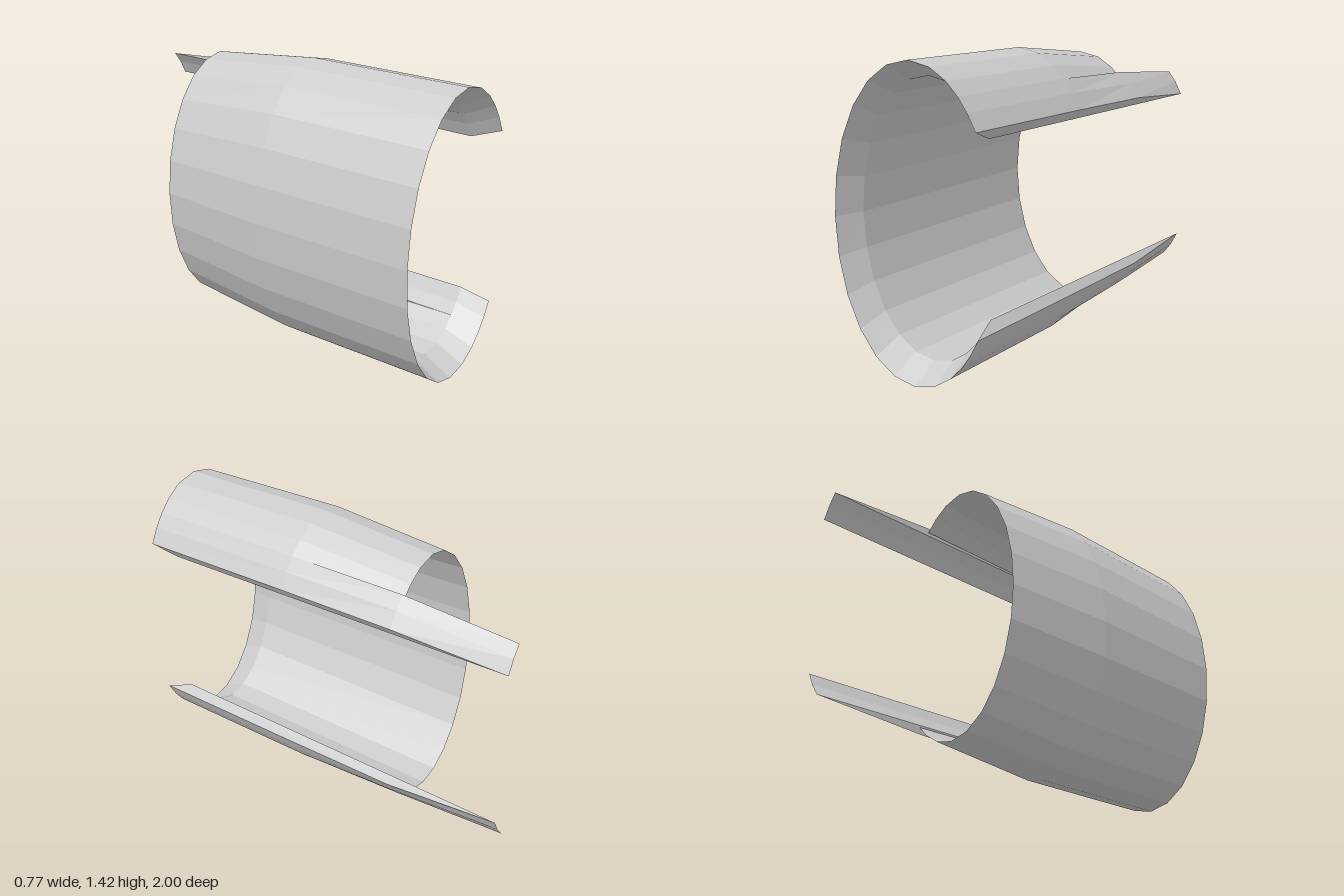
import * as THREE from 'three';

const CX = 0.04, CY = 0.715, DEG = Math.PI / 180;
const LIP = 37.8, SPLIT = 54;

// Point on an elliptical ring at angle t (degrees) and depth z
const ringPoint = (t, rx, ry, z) =>
  [CX + rx * Math.cos(t * DEG), CY + ry * Math.sin(t * DEG), z];

// Sweep a closed lengthwise profile around the given angles, with optional end caps
function sweep(name, angles, profile, capped, material) {
  const pos = [];
  const tri = (a, b, c) => pos.push(...a, ...b, ...c);
  const rows = angles.map(profile);
  const n = rows[0].length;
  for (let j = 0; j < rows.length - 1; j++) {
    for (let i = 0; i < n; i++) {
      const k = (i + 1) % n;
      const a = rows[j][i], b = rows[j][k], c = rows[j + 1][k], d = rows[j + 1][i];
      tri(a, b, c);
      tri(a, c, d);
    }
  }
  if (capped) {
    const s = rows[0], e = rows[rows.length - 1];
    for (let i = 0; i < n - 2; i++) {
      tri(s[n - 1], s[i + 1], s[i]);
      tri(e[n - 1], e[i], e[i + 1]);
    }
  }
  const geo = new THREE.BufferGeometry();
  geo.setAttribute('position', new THREE.Float32BufferAttribute(pos, 3));
  geo.computeVertexNormals();
  const mesh = new THREE.Mesh(geo, material);
  mesh.name = name;
  return mesh;
}

// Shell wall: bevelled front rim, tapering to a sharp back edge
const shellProfile = t => [
  ringPoint(t, 0.426, 0.704, 1),
  ringPoint(t, 0.43, 0.71, 0.17),
  ringPoint(t, 0.395, 0.655, -0.43),
  ringPoint(t, 0.385, 0.63, 0.86),
];

// Prong wall: same front, but stays wide and runs on to the far back
function prongProfile(t) {
  const c = a => Math.cos(a * DEG);
  const k = (c(t) - c(SPLIT)) / (c(LIP) - c(SPLIT));
  const mix = THREE.MathUtils.lerp;
  return [
    ringPoint(t, 0.426, 0.704, 1),
    ringPoint(t, 0.43, 0.71, 0.17),
    ringPoint(t, mix(0.41, 0.433, k), mix(0.692, 0.708, k), -0.43),
    ringPoint(t, mix(0.417, 0.405, k), mix(0.642, 0.652, k), -1),
    ringPoint(t, 0.385, 0.63, 0.86),
  ];
}

export function createModel() {
  const group = new THREE.Group();
  group.name = 'openShell';
  const material = new THREE.MeshStandardMaterial({ color: 0xcccccc, flatShading: true });

  // Main C-shaped shell
  const angles = [SPLIT, 63];
  for (let a = 75; a <= 285; a += 15) angles.push(a);
  angles.push(297, 360 - SPLIT);
  group.add(sweep('shell', angles, shellProfile, false, material));

  // Long prongs along the two lips of the opening
  const prong = [LIP, 46, SPLIT];
  group.add(sweep('upperProng', prong, prongProfile, true, material));
  group.add(sweep('lowerProng', prong.map(a => 360 - a).reverse(), prongProfile, true, material));
  return group;
}
